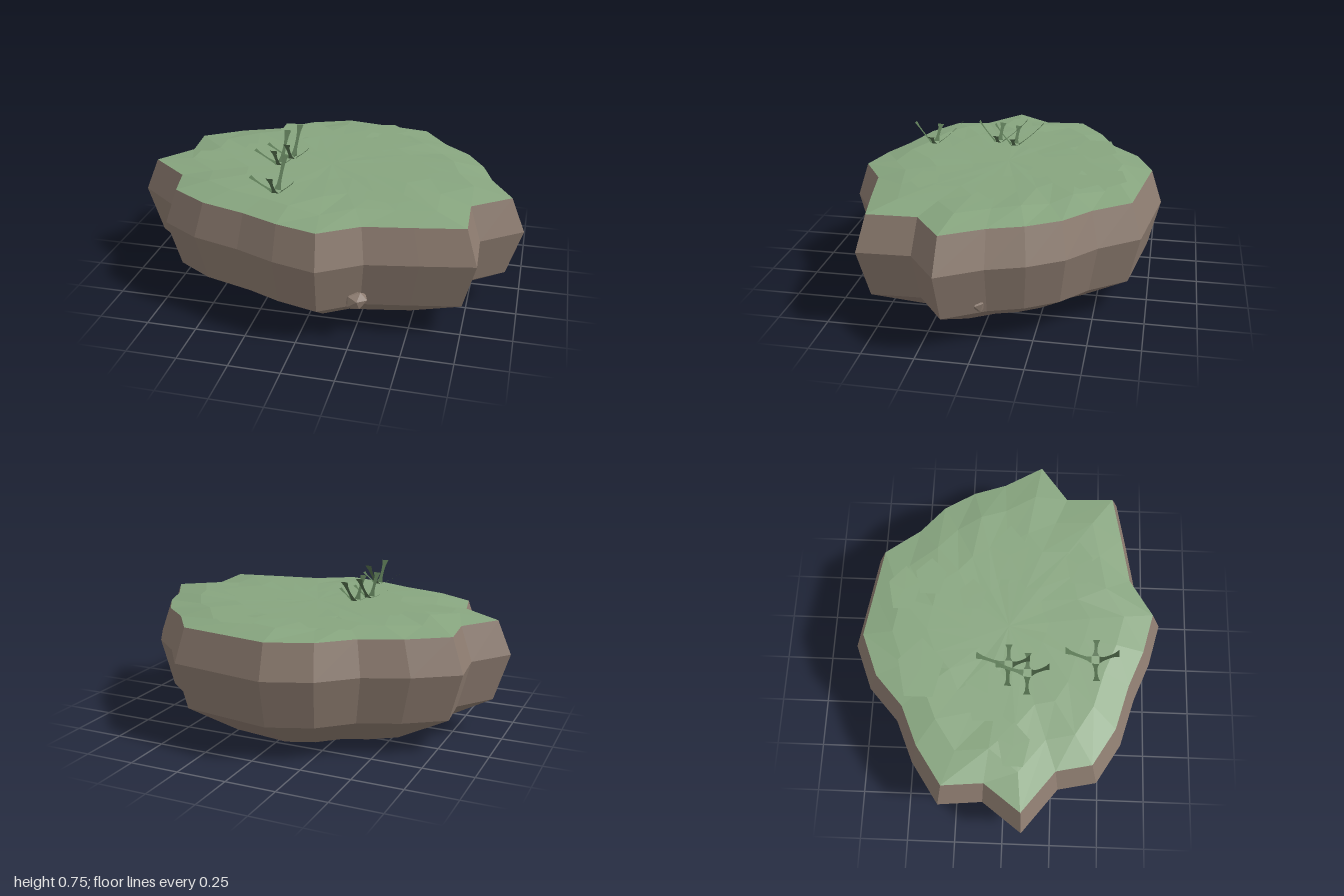
import * as THREE from 'three';

const stone = new THREE.MeshStandardMaterial({ color: 0x8d7c70, flatShading: true, side: THREE.DoubleSide });
stone.name = 'brown stone';
const grass = new THREE.MeshStandardMaterial({ color: 0x87a57f, flatShading: true, side: THREE.DoubleSide });
grass.name = 'soft green grass';
const leaf = new THREE.MeshStandardMaterial({ color: 0x587552, side: THREE.DoubleSide });
leaf.name = 'dark green leaf';

// Widest outline of the island as [x, z], running from the back round by the left (+x)
const OUTLINE = [
  [-0.065, -0.79], [0.18, -0.75], [0.43, -0.71], [0.57, -0.52], [0.72, -0.39], [0.82, -0.225],
  [0.88, -0.05], [1, 0.155], [0.8, 0.305], [0.81, 0.565], [0.555, 0.615], [0.305, 0.66],
  [0.105, 0.785], [-0.11, 0.73], [-0.305, 0.65], [-0.545, 0.58], [-0.74, 0.46], [-0.78, 0.27],
  [-1, 0.095], [-0.855, -0.1], [-0.875, -0.32], [-0.67, -0.46], [-0.46, -0.55], [-0.295, -0.7],
];

let seed = 7;
const rand = () => (seed = (seed * 16807) % 2147483647) / 2147483647;

// Skin through scaled copies of the outline: rings of [scale, y, unevenness], bottom to top
function loft(rings) {
  const n = OUTLINE.length, pos = [], index = [];
  for (const [s, y, rough] of rings) {
    for (const [x, z] of OUTLINE) pos.push(x * s, y + (rand() - 0.5) * rough, z * s);
  }
  for (let r = 0; r < rings.length - 1; r++) {
    for (let i = 0; i < n; i++) {
      const a = r * n + i, b = r * n + (i + 1) % n;
      index.push(a, a + n, b, b, a + n, b + n);
    }
  }
  const g = new THREE.BufferGeometry();
  g.setAttribute('position', new THREE.Float32BufferAttribute(pos, 3));
  g.setIndex(index);
  g.computeVertexNormals();
  return g;
}

// Ribbon blade leaning out along +z: flared at the foot and tip, narrow between
function bladeGeometry(reach, rise) {
  const g = new THREE.PlaneGeometry(1, 1, 1, 5);
  const p = g.attributes.position;
  for (let i = 0; i < p.count; i++) {
    const t = p.getY(i) + 0.5;
    const width = 0.016 + 0.02 * Math.pow(Math.abs(2 * t - 1), 3);
    p.setXYZ(i, p.getX(i) * width, rise * (0.8 * t + 0.2 * t * t), 0.02 + (reach - 0.02) * t);
  }
  g.computeVertexNormals();
  return g;
}

export function createModel() {
  const model = new THREE.Group();
  const add = (name, geometry, material, parent = model) => {
    const m = new THREE.Mesh(geometry, material);
    m.name = name;
    parent.add(m);
    return m;
  };

  // Hollow rock body, open underneath
  add('rockBody', loft([[0.6, 0, 0], [0.925, 0.17, 0], [1, 0.41, 0], [0.93, 0.58, 0]]), stone);

  // Gently uneven grass top
  add('grassTop', loft([
    [0.93, 0.58, 0], [0.74, 0.607, 0.018], [0.52, 0.613, 0.006], [0.26, 0.612, 0.004], [0, 0.612, 0],
  ]), grass);

  // Flat five-sided grass patches: [x, z, radius, z squash]
  const patches = [
    [-0.25, -0.43, 0.17, 0.7], [-0.36, -0.09, 0.17, 0.7], [-0.62, 0.045, 0.12, 0.68],
    [0.39, -0.01, 0.17, 0.62], [0.18, -0.54, 0.13, 0.66], [0.16, -0.19, 0.09, 0.8],
    [0.25, -0.41, 0.11, 0.75], [0.35, 0.35, 0.13, 0.55],
  ];
  for (const [x, z, r, squash] of patches) {
    const patch = add('grassPatch', new THREE.CircleGeometry(r, 5).rotateX(-Math.PI / 2), grass);
    patch.scale.z = squash;
    patch.position.set(x, 0.616, z);
  }

  // Tufts of four blades: [turn, reach, rise]
  const blades = [[Math.PI, 0.155, 0.125], [0, 0.105, 0.11], [-Math.PI / 2, 0.13, 0.065], [Math.PI / 2, 0.085, 0.055]];
  for (const [x, z] of [[-0.25, 0.1], [-0.21, 0.005], [-0.17, 0.435]]) {
    const tuft = new THREE.Group();
    tuft.name = 'grassTuft';
    tuft.position.set(x, 0.628, z);
    for (const [turn, reach, rise] of blades) {
      add('grassBlade', bladeGeometry(reach, rise), leaf, tuft).rotation.y = turn;
    }
    model.add(tuft);
  }

  // Small rocks set in the lower wall: [x, y, z, radius]
  for (const [x, y, z, r] of [[0.27, 0.21, 0.645, 0.058], [-0.67, 0.19, 0.31, 0.058], [0.815, 0.205, -0.005, 0.05]]) {
    const rock = add('smallRock', new THREE.IcosahedronGeometry(r, 0), stone);
    rock.scale.set(1, 0.8, 0.75);
    rock.rotation.set(0.3, 0.4, 0.2);
    rock.position.set(x, y, z);
  }
  return model;
}
